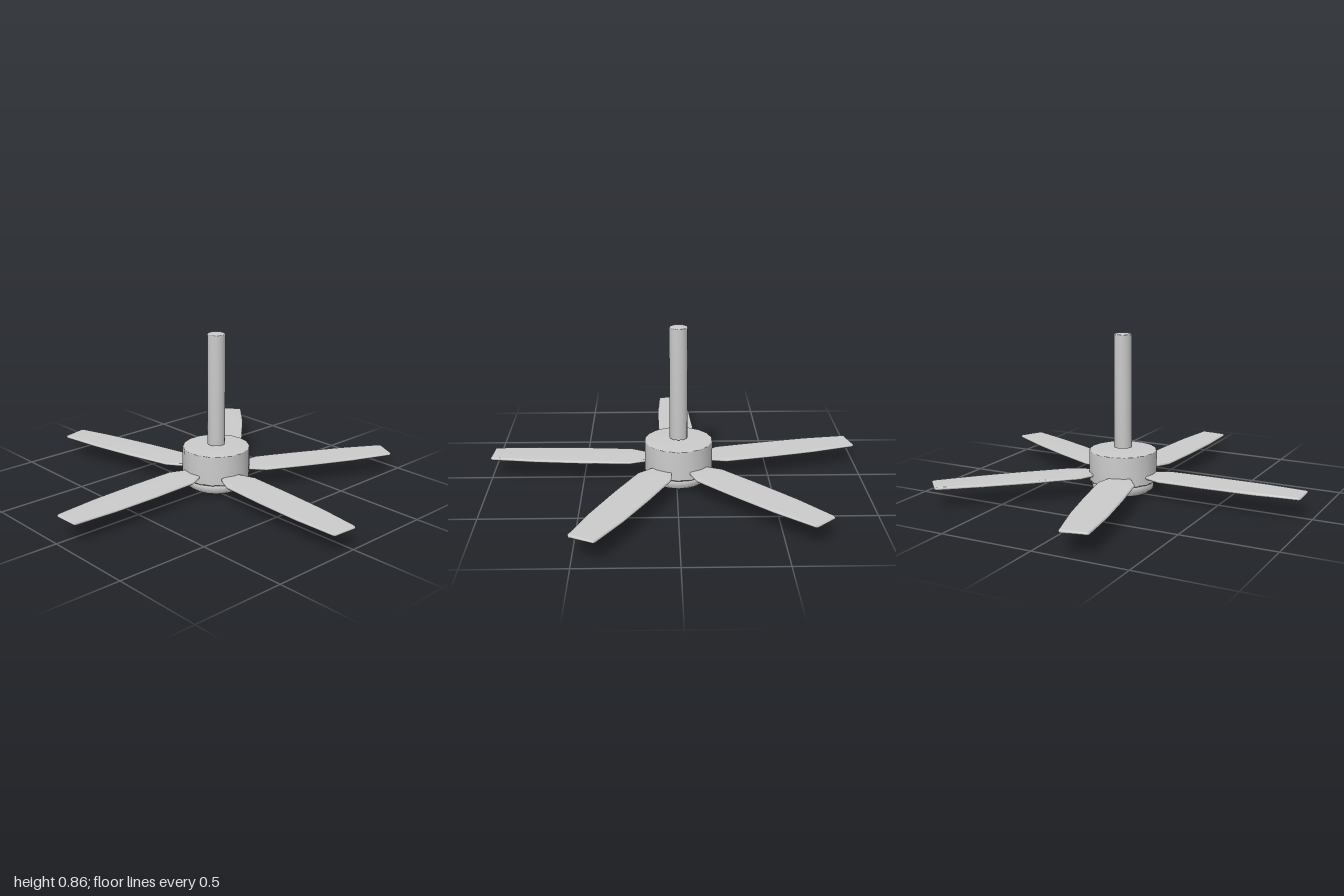
import * as THREE from 'three';
import { mergeVertices } from 'three/addons/utils/BufferGeometryUtils.js';

const grey = new THREE.MeshStandardMaterial({ color: 0xcccccc });

// Weld the corners so shading rolls softly over every edge.
function soften(geometry) {
  geometry.deleteAttribute('uv');
  geometry.deleteAttribute('normal');
  const welded = mergeVertices(geometry, 1e-4);
  welded.computeVertexNormals();
  return welded;
}

function part(name, geometry) {
  const mesh = new THREE.Mesh(soften(geometry), grey);
  mesh.name = name;
  return mesh;
}

function turned(name, profile, segments) {
  return part(name, new THREE.LatheGeometry(profile.map(([r, y]) => new THREE.Vector2(r, y)), segments));
}

// Flat paddle along +x: the shoulder is at x = 0, the narrow root runs into the hub.
function bladeGeometry() {
  const bevel = 0.005;
  const half = [[-0.1, 0.05], [-0.08, 0.062], [0, 0.097], [0.25, 0.099], [0.51, 0.093], [0.74, 0.074], [0.752, 0.066]];
  const outline = [...half, ...half.map(([x, w]) => [x, -w]).reverse()];
  const shape = new THREE.Shape(outline.map(([x, w]) => new THREE.Vector2(x, w)));
  const geometry = new THREE.ExtrudeGeometry(shape, {
    depth: 0.006, bevelEnabled: true, bevelThickness: bevel, bevelSize: bevel, bevelOffset: -bevel, bevelSegments: 1,
  });
  return geometry.translate(0, 0, -0.003).rotateX(Math.PI / 2);
}

export function createModel() {
  const model = new THREE.Group();
  model.name = 'ceilingFan';

  // Hub, bottom cap and down rod share one axis
  const axis = new THREE.Group();
  axis.name = 'motorAndRod';
  axis.position.set(-0.01, 0, -0.05);
  axis.add(
    turned('motorHousing', [[0, 0.072], [0.18, 0.072], [0.182, 0.08], [0.182, 0.232], [0.178, 0.237], [0, 0.237]], 18),
    turned('bottomCap', [[0, 0], [0.09, 0.003], [0.145, 0.014], [0.165, 0.03], [0.167, 0.06], [0.155, 0.073], [0, 0.073]], 24),
    turned('downRod', [[0, 0.25], [0.048, 0.25], [0.048, 0.853], [0.044, 0.858], [0, 0.858]], 16),
  );
  model.add(axis);

  // Blades: shoulder x, shoulder z, heading in degrees from +x towards +z
  const placements = [
    [0.249, 0.013, 3.7],
    [-0.013, 0.2, 88],
    [-0.246, 0.035, 166.5],
    [-0.168, -0.249, 226.3],
    [0.12, -0.265, 296.4],
  ];
  const geometry = bladeGeometry();
  placements.forEach(([x, z, heading], i) => {
    const blade = part(`blade${i + 1}`, geometry.clone());
    blade.position.set(x, 0.113, z);
    blade.rotation.y = -THREE.MathUtils.degToRad(heading);
    model.add(blade);
  });

  return model;
}
